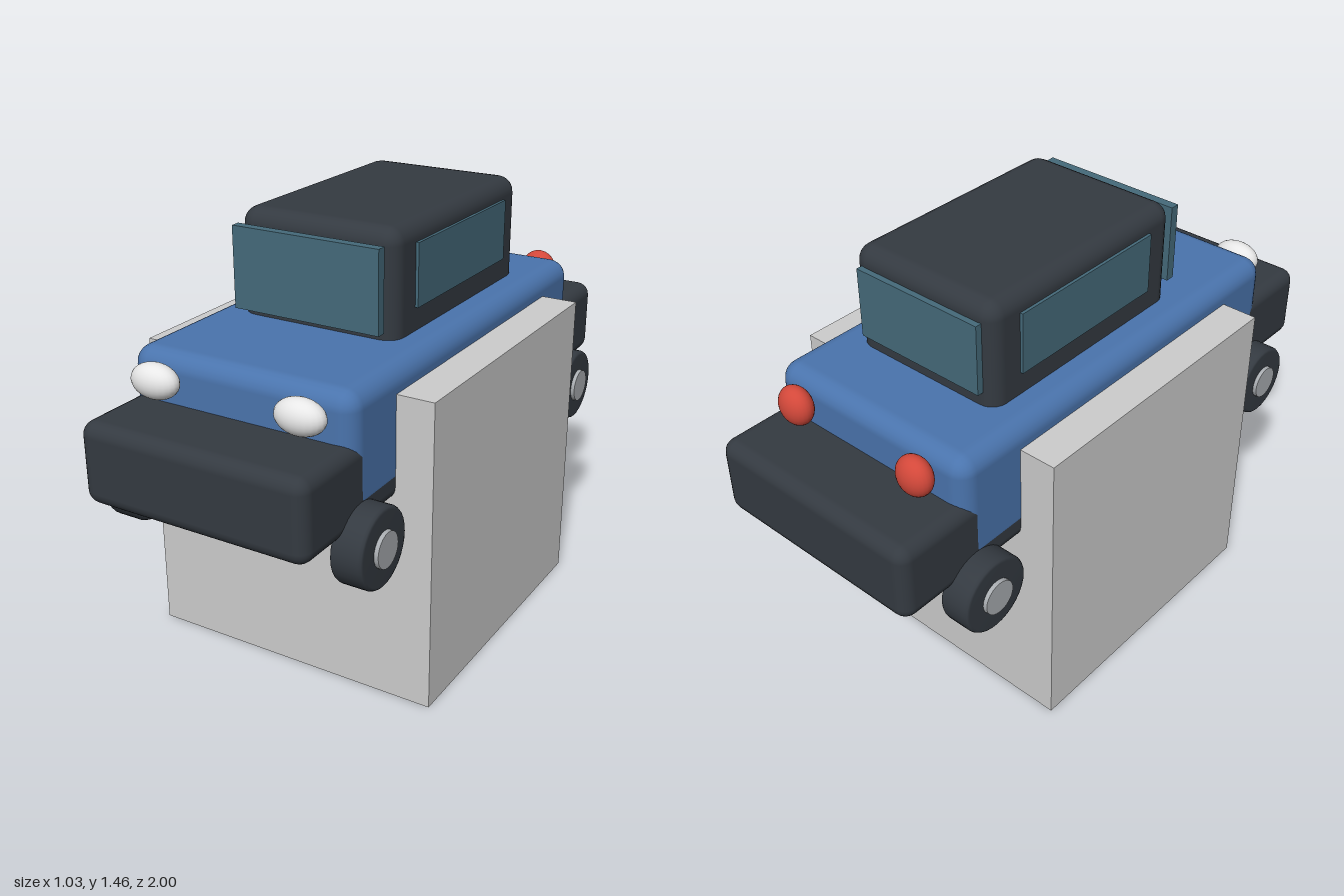
import * as THREE from 'three';
import { RoundedBoxGeometry } from 'three/addons/geometries/RoundedBoxGeometry.js';

const material = (name, color) => {
  const m = new THREE.MeshStandardMaterial({ color });
  m.name = name;
  return m;
};

export function createModel() {
  const model = new THREE.Group();
  model.name = 'carOnPlinth';

  const stone = material('plinth grey', 0xcccccc);
  const blue = material('body blue', 0x4a74ad);
  const dark = material('charcoal', 0x343a41);
  const glass = material('window teal', 0x456a7a);
  const white = material('lamp white', 0xe8e8e8);
  const red = material('lamp red', 0xd3483a);
  const metal = material('hub grey', 0xa9adb1);

  const add = (name, geometry, mat, x = 0, y = 0, z = 0) => {
    const mesh = new THREE.Mesh(geometry, mat);
    mesh.name = name;
    mesh.position.set(x, y, z);
    model.add(mesh);
    return mesh;
  };

  // Boxes are given by their extents: [min, max] on each axis
  const box = (name, mat, [x0, x1], [y0, y1], [z0, z1], radius = 0) => {
    const size = [x1 - x0, y1 - y0, z1 - z0];
    const geometry = radius
      ? new RoundedBoxGeometry(...size, 3, radius)
      : new THREE.BoxGeometry(...size);
    return add(name, geometry, mat, (x0 + x1) / 2, (y0 + y1) / 2, (z0 + z1) / 2);
  };

  // Plinth, chassis with bumpers, body and cabin
  box('plinth', stone, [-0.516, 0.516], [0, 1.035], [-0.516, 0.516]);
  box('chassis', dark, [-0.39, 0.39], [0.692, 0.957], [-1, 1], 0.045);
  box('body', blue, [-0.391, 0.391], [0.72, 1.112], [-0.755, 0.755], 0.06);
  box('cabin', dark, [-0.282, 0.282], [1.0, 1.455], [-0.507, 0.335], 0.055);

  // Windows
  box('windshield', glass, [-0.26, 0.26], [1.146, 1.412], [0.362, 0.394]);
  box('rearWindow', glass, [-0.24, 0.24], [1.16, 1.395], [-0.527, -0.495]);

  // Tyre outline with slightly rounded shoulders, and a shallow domed hub
  const tyre = new THREE.LatheGeometry([
    [0, -0.053], [0.115, -0.053], [0.123, -0.05], [0.127, -0.042],
    [0.127, 0.042], [0.123, 0.05], [0.115, 0.053], [0, 0.053],
  ].map(([r, h]) => new THREE.Vector2(r, h)), 32);
  const hub = new THREE.CylinderGeometry(0.057, 0.06, 0.03, 24);
  const lamp = new THREE.SphereGeometry(1, 24, 16);

  for (const side of [-1, 1]) {
    const prefix = side > 0 ? 'left' : 'right';

    const x = side * 0.28;
    box(prefix + 'SideWindow', glass, [x - 0.012, x + 0.012], [1.188, 1.392], [-0.39, 0.212]);

    add(prefix + 'Headlight', lamp, white, side * 0.253, 1.043, 0.802).scale.set(0.083, 0.056, 0.05);
    add(prefix + 'TailLight', lamp, red, side * 0.25, 1.043, -0.8).scale.set(0.064, 0.066, 0.046);

    for (const [end, z] of [['Front', 0.71], ['Rear', -0.71]]) {
      add(prefix + end + 'Tyre', tyre, dark, side * 0.413, 0.648, z).rotation.z = -side * Math.PI / 2;
      add(prefix + end + 'Hub', hub, metal, side * 0.464, 0.648, z).rotation.z = -side * Math.PI / 2;
    }
  }

  return model;
}
